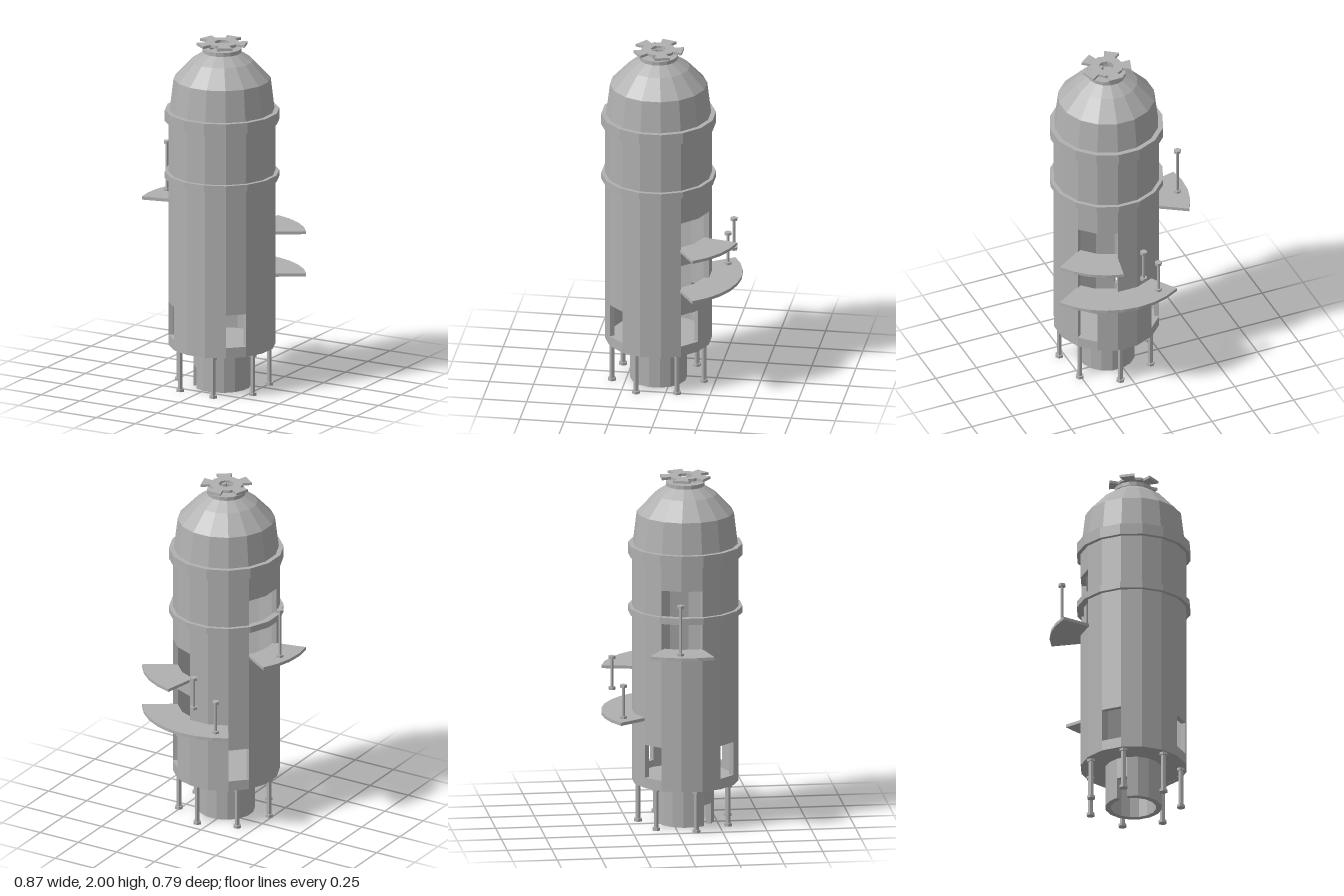
import * as THREE from 'three';

const CX = 0.032, CZ = 0.075;      // tower axis
const PANEL = 22.5, EDGE = 11.25;  // sixteen flat wall panels
const steel = new THREE.MeshStandardMaterial({ color: 0xb0b0b0, flatShading: true, side: THREE.DoubleSide });
steel.name = 'grey steel';

export function createModel() {
  const model = new THREE.Group();
  const tower = new THREE.Group();
  tower.name = 'tower';
  tower.position.set(CX, 0, CZ);
  model.add(tower);

  const add = (name, geometry, parent = tower) => {
    const mesh = new THREE.Mesh(geometry, steel);
    mesh.name = name;
    parent.add(mesh);
    return mesh;
  };

  // Raise a plan outline (x, z) between two heights
  const raise = (points, y0, y1, hole) => {
    const shape = new THREE.Shape(points);
    if (hole) shape.holes.push(new THREE.Path(hole));
    const g = new THREE.ExtrudeGeometry(shape, { depth: y1 - y0, bevelEnabled: false });
    g.rotateX(Math.PI / 2);
    g.translate(0, y1, 0);
    return g;
  };
  const arc = (a, b, r, step) => {
    const n = Math.max(1, Math.round((b - a) / step));
    return Array.from({ length: n + 1 }, (_, i) => {
      const t = THREE.MathUtils.degToRad(a + (b - a) * i / n);
      return new THREE.Vector2(r * Math.cos(t), r * Math.sin(t));
    });
  };
  const sector = (a, b, rIn, rOut, y0, y1, step = PANEL) =>
    raise([...arc(a, b, rOut, step), ...arc(a, b, rIn, step).reverse()], y0, y1);
  const ring = (rIn, rOut, y0, y1, step = PANEL) => {
    const loop = r => arc(EDGE, EDGE + 360, r, step).slice(0, -1);
    return raise(loop(rOut), y0, y1, rIn > 0 ? loop(rIn) : null);
  };

  // Hull wall in bands: [bottom, top, remaining wall arcs]
  const corners = [0, 1, 2, 3].map(i => [56.25 + 90 * i, 123.75 + 90 * i]);
  const backGap = [[326.25, 641.25]];
  const sideGap = [[213.75, 528.75]];
  const bands = [
    [0.24, 0.30, null], [0.30, 0.49, corners], [0.49, 0.645, null],
    [0.645, 0.79, backGap], [0.79, 0.89, null], [0.89, 1.05, backGap],
    [1.05, 1.40, sideGap], [1.40, 1.60, null],
  ];
  const hull = new THREE.Group();
  hull.name = 'hull';
  tower.add(hull);
  for (const [y0, y1, arcs] of bands) {
    if (!arcs) add('hullBand', ring(0.272, 0.3, y0, y1), hull);
    else for (const [a, b] of arcs) add('hullPanel', sector(a, b, 0.272, 0.3, y0, y1), hull);
  }
  add('floor', ring(0, 0.299, 0.241, 0.26));

  // Raised hoops
  add('lowerHoop', ring(0.285, 0.322, 1.213, 1.25));
  add('upperHoop', ring(0.27, 0.322, 1.545, 1.61));

  // Faceted dome
  const profile = [[0.296, 1.6], [0.273, 1.79], [0.175, 1.895], [0.1, 1.945], [0, 1.946]]
    .map(p => new THREE.Vector2(...p));
  add('dome', new THREE.LatheGeometry(profile, 16, THREE.MathUtils.degToRad(EDGE)));

  // Cap with a five-armed wheel
  add('capFlange', ring(0.07, 0.109, 1.943, 1.965));
  const wheel = new THREE.Group();
  wheel.name = 'capWheel';
  tower.add(wheel);
  add('wheelHub', ring(0.042, 0.095, 1.985, 2.0, 36), wheel);
  for (let i = 0; i < 5; i++) {
    const arm = [[0.08, -0.028], [0.137, -0.044], [0.137, 0.044], [0.08, 0.028]]
      .map(p => new THREE.Vector2(...p));
    add('wheelArm', raise(arm, 1.985, 2.0), wheel).rotation.y = Math.PI / 2 - i * Math.PI * 2 / 5;
  }
  const spindle = add('spindle', new THREE.CylinderGeometry(0.014, 0.014, 0.045, 6));
  spindle.position.set(0.025, 1.967, 0.02);

  // Hollow base column with a low doorway
  add('columnDoorway', sector(146.25, 483.75, 0.128, 0.16, 0, 0.12));
  add('column', ring(0.128, 0.16, 0.12, 0.245));

  // Hexagonal rod with a nut at each end
  const post = (name, x, z, y0, y1, r, nut, parent) => {
    const g = new THREE.Group();
    g.name = name;
    g.position.set(x, 0, z);
    add('rod', new THREE.CylinderGeometry(r, r, y1 - y0, 6), g).position.y = (y0 + y1) / 2;
    for (const y of [y0 + 0.008, y1 - 0.008])
      add('nut', new THREE.CylinderGeometry(nut, nut, 0.016, 6), g).position.y = y;
    g.children.forEach(m => { m.rotation.y = Math.PI / 6; });
    parent.add(g);
  };

  // Seven legs
  for (let i = 0; i < 7; i++) {
    const a = THREE.MathUtils.degToRad(19) + i * Math.PI * 2 / 7;
    post('leg', 0.265 * Math.sin(a), 0.265 * Math.cos(a), 0, 0.242, 0.015, 0.024, tower);
  }

  // Curved balconies and their posts
  add('sideBalcony', sector(167, 212.5, 0.275, 0.47, 1.042, 1.06, EDGE));
  add('upperBackBalcony', sector(282, 327.5, 0.275, 0.472, 0.873, 0.89, EDGE));
  add('lowerBackBalcony', sector(237, 327.5, 0.275, 0.472, 0.627, 0.645, EDGE));
  post('sidePost', -0.368, -0.003, 1.058, 1.35, 0.009, 0.021, model);
  post('upperBackPost', -0.01, -0.345, 0.785, 0.98, 0.009, 0.021, model);
  post('lowerBackPost', -0.123, -0.295, 0.643, 0.84, 0.009, 0.021, model);

  return model;
}
